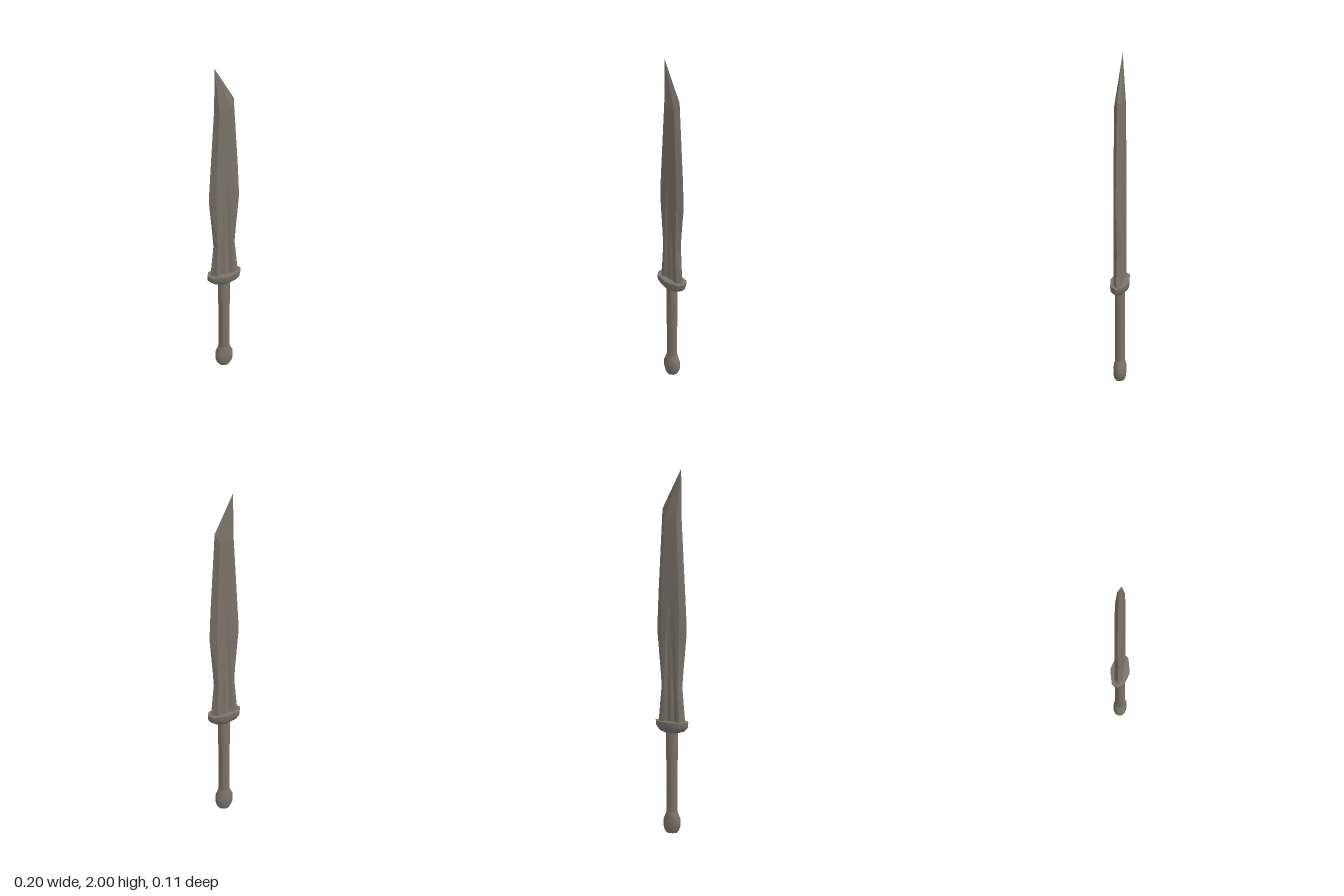
import * as THREE from 'three';
import { toCreasedNormals } from 'three/addons/utils/BufferGeometryUtils.js';

// Skin equal-length rings (counterclockwise from above), closing both ends
function loft(rings, crease) {
  const n = rings[0].length, pos = [];
  const tri = (a, b, c) => pos.push(...a, ...b, ...c);
  for (let i = 0; i < rings.length - 1; i++) {
    for (let j = 0; j < n; j++) {
      const k = (j + 1) % n, lo = rings[i], hi = rings[i + 1];
      tri(lo[j], lo[k], hi[j]);
      tri(lo[k], hi[k], hi[j]);
    }
  }
  const centre = r => [0, 1, 2].map(a => r.reduce((s, p) => s + p[a], 0) / n);
  const bottom = rings[0], top = rings[rings.length - 1];
  for (let j = 0; j < n; j++) {
    const k = (j + 1) % n;
    tri(centre(bottom), bottom[k], bottom[j]);
    tri(centre(top), top[j], top[k]);
  }
  const g = new THREE.BufferGeometry();
  g.setAttribute('position', new THREE.Float32BufferAttribute(pos, 3));
  g.computeVertexNormals();
  return crease ? toCreasedNormals(g, crease) : g;
}

// Oval ring with the given half width and half depth
const oval = (y, rx, rz, n = 12) => Array.from({ length: n }, (_, j) => {
  const a = j / n * Math.PI * 2;
  return [rx * Math.cos(a), y, -rz * Math.sin(a)];
});

// Stretched octagon for the guard
const guardRing = (y, rx, rz) =>
  [[1, 0], [0.79, -0.62], [0, -1], [-0.79, -0.62], [-1, 0], [-0.79, 0.62], [0, 1], [0.79, 0.62]]
    .map(([x, z]) => [x * rx, y, z * rz]);

// Blade section: sharp edges, bevels and a shallow fuller on each face
function bladeRing([y, left, right, bevel, fuller, recess, ridge, rise = 0]) {
  const z = 0.022;
  const face = [[-bevel, z], [-fuller, z], [-fuller / 2, z - recess], [0, z - ridge],
    [fuller / 2, z - recess], [fuller, z], [bevel, z]];
  return [
    [left, y, 0],
    ...face.map(([x, d]) => [x, y, d]),
    [right, y + rise, 0],
    ...face.slice().reverse().map(([x, d]) => [x, y, -d]),
  ];
}

export function createModel() {
  const group = new THREE.Group();
  const metal = new THREE.MeshStandardMaterial({ color: 0x7a736b });
  metal.name = 'weathered grey';
  const add = (name, geometry) => {
    const mesh = new THREE.Mesh(geometry, metal);
    mesh.name = name;
    group.add(mesh);
  };

  // Leaf-shaped blade ending in a slanted point
  const rows = [
    // y, left edge, right edge, bevel, fuller, recess, ridge, right edge rise
    [0.60, -0.08, 0.08, 0.055, 0.042, 0.008, 0.002],
    [0.80, -0.062, 0.062, 0.046, 0.034, 0.008, 0.002],
    [0.88, -0.068, 0.068, 0.048, 0.033, 0.007, 0.005],
    [1.10, -0.088, 0.088, 0.054, 0.028, 0.004, 0.005],
    [1.14, -0.088, 0.087, 0.054, 0.022, 0.003, 0.004],
    [1.30, -0.08, 0.081, 0.051, 0.004, 0, 0],
    [1.72, -0.058, 0.057, 0.036, 0.004, 0, 0, 0.05],
  ];
  const tip = Array.from({ length: 16 }, () => [-0.055, 2, 0]);
  add('blade', loft([...rows.map(bladeRing), tip]));

  // Cup-shaped guard
  add('guard', loft([
    guardRing(0.548, 0.04, 0.03),
    guardRing(0.56, 0.075, 0.042),
    guardRing(0.582, 0.095, 0.051),
    guardRing(0.61, 0.098, 0.053),
  ], 0.8));

  // Grip, slightly waisted toward the pommel
  add('grip', loft([
    oval(0.10, 0.03, 0.026),
    oval(0.39, 0.031, 0.026),
    oval(0.41, 0.034, 0.027),
    oval(0.555, 0.034, 0.027),
  ], 0.8));

  // Rounded pommel
  add('pommel', loft([
    oval(0, 0.03, 0.026),
    oval(0.015, 0.041, 0.031),
    oval(0.04, 0.05, 0.035),
    oval(0.072, 0.05, 0.035),
    oval(0.095, 0.039, 0.031),
    oval(0.118, 0.03, 0.026),
  ], 0.8));

  return group;
}
